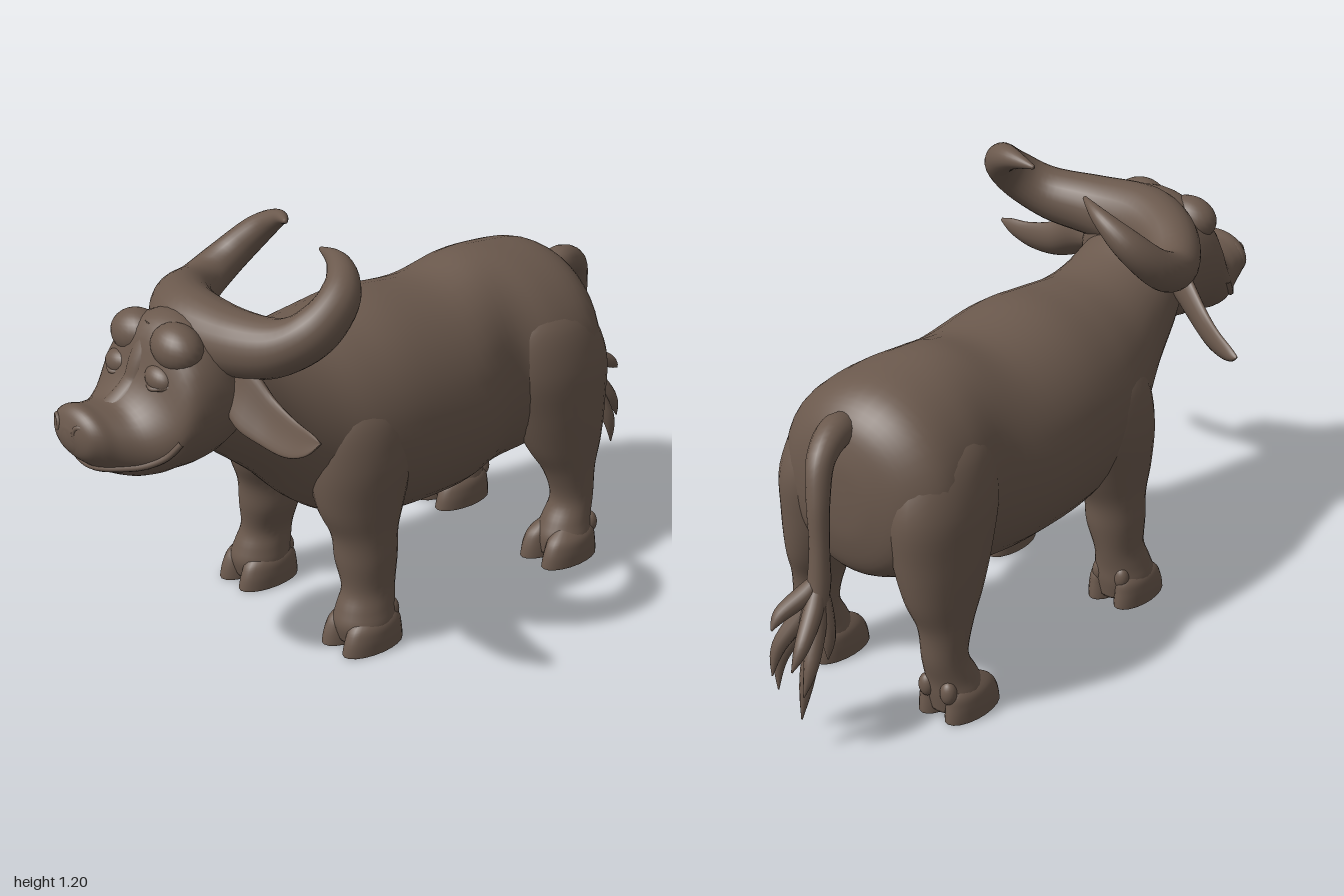
import * as THREE from 'three';

const hide = new THREE.MeshStandardMaterial({ color: 0x6b594d });
hide.name = 'brownHide';
const MID = -0.035; // the trunk's centre line
const V = (x, y, z) => new THREE.Vector3(x, y, z);

// Catmull-Rom refinement of rows of numbers
function refine(rows, steps) {
  const out = [], n = rows.length;
  for (let i = 0; i < n - 1; i++) {
    const a = rows[Math.max(i - 1, 0)], b = rows[i], c = rows[i + 1], d = rows[Math.min(i + 2, n - 1)];
    for (let k = 0; k < steps; k++) {
      const t = k / steps;
      out.push(b.map((_, j) => 0.5 * (2 * b[j] + (c[j] - a[j]) * t
        + (2 * a[j] - 5 * b[j] + 4 * c[j] - d[j]) * t * t
        + (3 * b[j] - a[j] - 3 * c[j] + d[j]) * t * t * t)));
    }
  }
  out.push(rows[n - 1]);
  return out;
}

// Closed skin over rings; each ring is { c, u, v } with u x v along the path
function skin(rings, seg, dish = 0) {
  const pos = [], idx = [], n = rings.length;
  for (const { c, u, v } of rings) {
    for (let j = 0; j < seg; j++) {
      const t = (j / seg) * Math.PI * 2, cos = Math.cos(t);
      const p = c.clone().addScaledVector(u, cos).addScaledVector(v, Math.sin(t) + dish * cos * cos);
      pos.push(p.x, p.y, p.z);
    }
  }
  for (let i = 0; i < n - 1; i++) {
    for (let j = 0; j < seg; j++) {
      const k = (j + 1) % seg, a = i * seg + j, b = i * seg + k;
      idx.push(a, b, b + seg, a, b + seg, a + seg);
    }
  }
  const first = n * seg;
  pos.push(...rings[0].c.toArray(), ...rings[n - 1].c.toArray());
  for (let j = 0; j < seg; j++) {
    const k = (j + 1) % seg;
    idx.push(first, k, j, first + 1, (n - 1) * seg + j, (n - 1) * seg + k);
  }
  const g = new THREE.BufferGeometry();
  g.setAttribute('position', new THREE.Float32BufferAttribute(pos, 3));
  g.setIndex(idx);
  g.computeVertexNormals();
  return g;
}

// Rows [x, y, z, radiusU, radiusV], rings in a fixed plane
function loft(rows, U, W, seg = 28, dish = 0) {
  return skin(refine(rows, 5).map(([x, y, z, a, b]) => ({
    c: V(x, y, z),
    u: U.clone().multiplyScalar(Math.max(a, 0.001)),
    v: W.clone().multiplyScalar(Math.max(b, 0.001)),
  })), seg, dish);
}

// Rows [x, y, z, radius], round rings following the path
function taper(rows, seg = 16) {
  const pts = refine(rows, 6);
  const curve = new THREE.CatmullRomCurve3(pts.map((p) => V(p[0], p[1], p[2])));
  curve.getPointAt = curve.getPoint;
  const f = curve.computeFrenetFrames(pts.length - 1, false);
  return skin(pts.map((p, i) => {
    const r = Math.max(p[3], 0.001);
    return { c: V(p[0], p[1], p[2]), u: f.normals[i].clone().multiplyScalar(r), v: f.binormals[i].clone().multiplyScalar(r) };
  }), seg);
}

const X = V(1, 0, 0), Y = V(0, 1, 0), BACK = V(0, 0, -1);
const EAR_UP = V(0, 0.94, -0.34), EAR_FRONT = V(0, 0.34, 0.94);

export function createModel() {
  const model = new THREE.Group();
  model.name = 'buffalo';
  const add = (name, geo) => {
    const m = new THREE.Mesh(geo, hide);
    m.name = name;
    model.add(m);
    return m;
  };
  const blob = (name, p, r, roll = 0) => {
    const m = add(name, new THREE.SphereGeometry(1, 24, 16));
    m.position.set(...p);
    m.scale.set(...r);
    m.rotation.z = roll;
  };
  const cord = (name, pts, r) => add(name, new THREE.TubeGeometry(new THREE.CatmullRomCurve3(pts), 40, r, 8));

  // Trunk and neck, rump to nape, drawn in at the flanks
  add('trunk', loft([
    [MID, 0.62, -0.7, 0.03, 0.03], [MID, 0.62, -0.693, 0.11, 0.12],
    [MID, 0.62, -0.66, 0.21, 0.215], [MID, 0.63, -0.58, 0.28, 0.27],
    [MID, 0.617, -0.45, 0.285, 0.308], [MID - 0.01, 0.602, -0.32, 0.258, 0.328],
    [MID, 0.581, -0.16, 0.295, 0.319], [MID, 0.592, 0.05, 0.3, 0.328],
    [MID, 0.605, 0.2, 0.285, 0.303], [MID, 0.64, 0.33, 0.245, 0.26],
    [-0.03, 0.71, 0.45, 0.205, 0.21], [-0.02, 0.79, 0.58, 0.175, 0.18],
    [-0.01, 0.83, 0.68, 0.13, 0.14],
  ], X, Y, 40));

  // Head, nape to nose, turned slightly to its right
  const headRows = [
    [0, 0.86, 0.52, 0.05, 0.06], [0, 0.86, 0.56, 0.14, 0.15],
    [-0.01, 0.85, 0.64, 0.19, 0.19], [-0.012, 0.845, 0.71, 0.2, 0.205],
    [-0.018, 0.825, 0.77, 0.196, 0.187], [-0.032, 0.765, 0.815, 0.178, 0.13],
    [-0.045, 0.74, 0.865, 0.146, 0.103], [-0.055, 0.75, 0.92, 0.117, 0.089],
    [-0.063, 0.768, 0.96, 0.102, 0.078], [-0.068, 0.773, 0.985, 0.077, 0.055],
    [-0.07, 0.775, 0.998, 0.02, 0.015],
  ];
  add('head', loft(headRows, X, Y, 36));
  const headRings = refine(headRows, 20);
  const onHead = (z, angle) => {
    const [x, y, zz, a, b] = headRings.find((r) => r[2] >= z);
    return V(x + a * Math.cos(angle), y + b * Math.sin(angle), zz);
  };

  // Face: long nose, pad with nostrils, broad smile, heavy-lidded eyes under domed brows
  add('noseBridge', taper([
    [-0.035, 1.0, 0.715, 0.05], [-0.04, 0.93, 0.762, 0.045], [-0.045, 0.86, 0.79, 0.045],
    [-0.055, 0.8, 0.86, 0.045], [-0.065, 0.785, 0.93, 0.045],
  ]));
  blob('nosePad', [-0.075, 0.77, 0.957], [0.094, 0.07, 0.042]);
  cord('mouth', Array.from({ length: 17 }, (_, i) => {
    const u = i / 8 - 1;
    return onHead(0.8 + 0.145 * Math.cos(u * Math.PI / 2), Math.PI * (1.5 + 0.48 * Math.sign(u) * Math.abs(u) ** 0.6));
  }), 0.009);
  for (const [side, x, y, roll] of [['right', -0.128, 0.895, 0.15], ['left', 0.05, 0.91, -0.1]]) {
    blob(side + 'Eyelid', [x, y, 0.782], [0.052, 0.037, 0.036], roll);
    blob(side + 'Brow', [x + 0.01, y + 0.075, 0.735], [0.082, 0.062, 0.062], roll);
    cord(side + 'LashLine', [
      V(x - 0.05, y - 0.006, 0.785), V(x, y - 0.018, 0.816), V(x + 0.05, y - 0.006, 0.79),
    ], 0.006);
  }
  for (const [side, x] of [['right', -0.127], ['left', -0.025]]) {
    const n = add(side + 'Nostril', new THREE.TorusGeometry(0.019, 0.007, 10, 20));
    n.position.set(x, 0.787, 0.984);
    n.rotation.y = side === 'left' ? 0.4 : -0.4;
  }

  // Both horns and the heavy boss between them, tip to tip
  add('horns', taper([
    [-0.08, 1.165, 0.275, 0.006], [-0.16, 1.142, 0.237, 0.024], [-0.242, 1.085, 0.245, 0.042],
    [-0.297, 1.0, 0.32, 0.054], [-0.278, 0.955, 0.43, 0.066], [-0.18, 0.975, 0.545, 0.084],
    [-0.04, 0.98, 0.615, 0.1], [0.13, 0.985, 0.605, 0.088], [0.265, 1.005, 0.56, 0.076],
    [0.337, 1.07, 0.49, 0.065], [0.323, 1.138, 0.41, 0.052], [0.245, 1.175, 0.36, 0.031],
    [0.15, 1.178, 0.34, 0.006],
  ], 24));

  // Dished ears, their upper edges leaning back
  add('leftEar', loft([
    [0.13, 0.885, 0.61, 0.05, 0.035], [0.21, 0.863, 0.62, 0.08, 0.03],
    [0.29, 0.825, 0.615, 0.064, 0.022], [0.38, 0.812, 0.617, 0.05, 0.016],
    [0.45, 0.823, 0.618, 0.031, 0.012], [0.49, 0.842, 0.618, 0.003, 0.004],
  ], EAR_UP, EAR_FRONT, 24, 0.8));
  add('rightEar', loft([
    [-0.15, 0.865, 0.59, 0.05, 0.035], [-0.23, 0.815, 0.56, 0.082, 0.03],
    [-0.33, 0.754, 0.515, 0.066, 0.022], [-0.4, 0.735, 0.48, 0.048, 0.016],
    [-0.46, 0.734, 0.452, 0.025, 0.012], [-0.49, 0.742, 0.44, 0.003, 0.004],
  ], EAR_UP.clone().negate(), EAR_FRONT, 24, 0.8));

  // Legs: rows [offset, y, z, radiusX, radiusZ], hoof to shoulder or haunch
  const legs = {
    Front: { hoof: [0.235, 0.25], rows: [
      [0.235, 0.02, 0.24, 0.07, 0.08], [0.235, 0.07, 0.242, 0.083, 0.09], [0.232, 0.115, 0.235, 0.075, 0.085],
      [0.228, 0.17, 0.222, 0.066, 0.08], [0.216, 0.25, 0.22, 0.08, 0.092],
      [0.21, 0.33, 0.22, 0.083, 0.1], [0.195, 0.42, 0.22, 0.103, 0.135],
      [0.185, 0.55, 0.21, 0.118, 0.16], [0.165, 0.68, 0.2, 0.11, 0.15], [0.14, 0.78, 0.2, 0.05, 0.07]] },
    Hind: { hoof: [0.235, -0.5], rows: [
      [0.235, 0.02, -0.515, 0.068, 0.075], [0.235, 0.07, -0.518, 0.08, 0.08], [0.233, 0.115, -0.53, 0.07, 0.073],
      [0.23, 0.18, -0.552, 0.061, 0.066], [0.225, 0.27, -0.542, 0.068, 0.084],
      [0.21, 0.36, -0.53, 0.09, 0.127], [0.195, 0.48, -0.515, 0.113, 0.16],
      [0.185, 0.62, -0.5, 0.122, 0.18], [0.165, 0.75, -0.48, 0.1, 0.145], [0.13, 0.83, -0.47, 0.04, 0.06]] },
  };
  for (const [side, s] of [['left', 1], ['right', -1]]) {
    for (const [end, { hoof: [off, hz], rows }] of Object.entries(legs)) {
      add(side + end + 'Leg', loft(rows.map(([o, ...r]) => [MID + s * o, ...r]), X, BACK));
      for (const t of [-1, 1]) {
        // Cloven toe with a flat sole, and the dewclaw behind it
        const x = MID + s * off + t * 0.045;
        add(side + end + 'Toe', loft([
          [x, 0, hz, 0.046, 0.099], [x, 0.006, hz, 0.047, 0.101], [x, 0.045, hz - 0.003, 0.046, 0.094],
          [x - t * 0.003, 0.08, hz - 0.01, 0.04, 0.08], [x - t * 0.01, 0.112, hz - 0.02, 0.015, 0.04],
        ], X, BACK, 20));
        blob(side + end + 'Dewclaw', [x - t * 0.008, 0.09, rows[2][2] - 0.058], [0.024, 0.034, 0.022]);
      }
    }
  }

  // Tail and its tuft of curved locks
  add('tail', taper([
    [-0.015, 0.77, -0.58, 0.03], [-0.018, 0.812, -0.67, 0.046], [-0.045, 0.778, -0.765, 0.038],
    [-0.07, 0.68, -0.808, 0.031], [-0.085, 0.56, -0.825, 0.027], [-0.09, 0.45, -0.84, 0.032],
    [-0.09, 0.36, -0.875, 0.03], [-0.09, 0.27, -0.905, 0.012],
  ]));
  const locks = [
    [-0.1, 0.1, -0.93], [-0.13, 0.19, -0.95], [-0.125, 0.28, -0.985], [-0.01, 0.15, -0.92],
    [-0.03, 0.22, -0.96], [-0.05, 0.37, -0.975], [-0.12, 0.25, -0.845], [-0.02, 0.27, -0.87],
  ];
  for (const [x, y, z] of locks) {
    const at = (fx, fy, fz, r) => [-0.088 + (x + 0.088) * fx, 0.48 + (y - 0.48) * fy, -0.835 + (z + 0.835) * fz, r];
    add('tailLock', taper([at(0, 0, 0, 0.014), at(0.4, 0.35, 0.25, 0.026), at(1.05, 0.72, 0.75, 0.02), at(1, 1, 1, 0.002)], 10));
  }
  return model;
}
